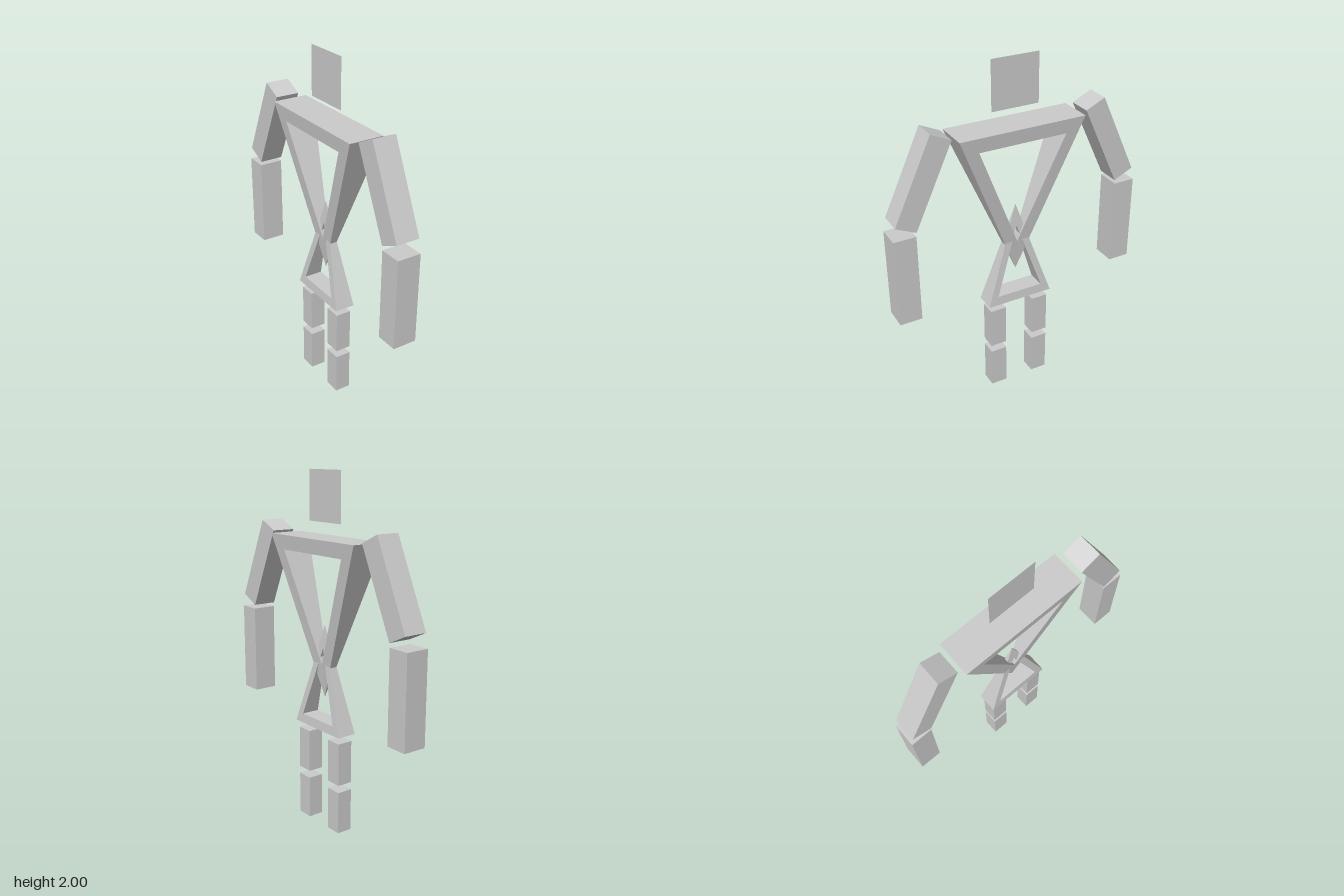
import * as THREE from 'three';

const material = new THREE.MeshStandardMaterial({ color: 0xcccccc, flatShading: true });
const sheetMaterial = new THREE.MeshStandardMaterial({ color: 0xcccccc, side: THREE.DoubleSide });

function addPart(parent, name, geometry, y, z, tilt = 0, mat = material) {
  const mesh = new THREE.Mesh(geometry, mat);
  mesh.name = name;
  mesh.position.set(0, y, z);
  mesh.rotation.x = tilt;
  parent.add(mesh);
}

// Triangle wound counter-clockwise whether its tip points up or down
function triangle(PathType, halfWidth, baseY, tipY) {
  const start = tipY > baseY ? -halfWidth : halfWidth;
  const path = new PathType();
  path.moveTo(start, baseY);
  path.lineTo(-start, baseY);
  path.lineTo(0, tipY);
  path.closePath();
  return path;
}

// Triangular frame in the zy plane whose thickness narrows from base to tip.
// outer and inner are [halfWidth, baseY, tipY].
function taperedFrame(outer, inner, halfThickness) {
  const shape = triangle(THREE.Shape, ...outer);
  shape.holes.push(triangle(THREE.Path, ...inner));
  const geometry = new THREE.ExtrudeGeometry(shape, { depth: 2, bevelEnabled: false });
  geometry.translate(0, 0, -1);
  geometry.rotateY(Math.PI / 2);
  const [, baseY, tipY] = outer;
  const pos = geometry.attributes.position;
  for (let i = 0; i < pos.count; i++) {
    const t = (pos.getY(i) - tipY) / (baseY - tipY);
    pos.setX(i, pos.getX(i) * halfThickness * Math.max(t, 0.005));
  }
  geometry.computeVertexNormals();
  return geometry;
}

export function createModel() {
  const model = new THREE.Group();
  model.name = 'blockFigure';

  // Flat square head, facing sideways
  const head = new THREE.PlaneGeometry(0.275, 0.275).rotateY(Math.PI / 2);
  addPart(model, 'head', head, 1.8625, 0, 0, sheetMaterial);

  // Two interlocking triangular frames form the trunk
  addPart(model, 'torso', taperedFrame([0.365, 1.645, 0.755], [0.255, 1.563, 0.942], 0.1), 0, 0);
  addPart(model, 'pelvis', taperedFrame([0.197, 0.576, 1.168], [0.138, 0.628, 1.038], 0.058), 0, 0);

  // Limbs, mirrored across z
  const upperArm = new THREE.BoxGeometry(0.136, 0.51, 0.124);
  const forearm = new THREE.BoxGeometry(0.136, 0.511, 0.126);
  const legBlock = new THREE.BoxGeometry(0.09, 0.245, 0.096);
  for (const side of [1, -1]) {
    const limbs = new THREE.Group();
    limbs.name = side > 0 ? 'frontLimbs' : 'backLimbs';
    addPart(limbs, 'upperArm', upperArm, 1.45, side * 0.555, -side * 0.435);
    addPart(limbs, 'forearm', forearm, 0.914, side * 0.672);
    addPart(limbs, 'thigh', legBlock, 0.411, side * 0.135);
    addPart(limbs, 'shin', legBlock, 0.1225, side * 0.135);
    model.add(limbs);
  }
  return model;
}
